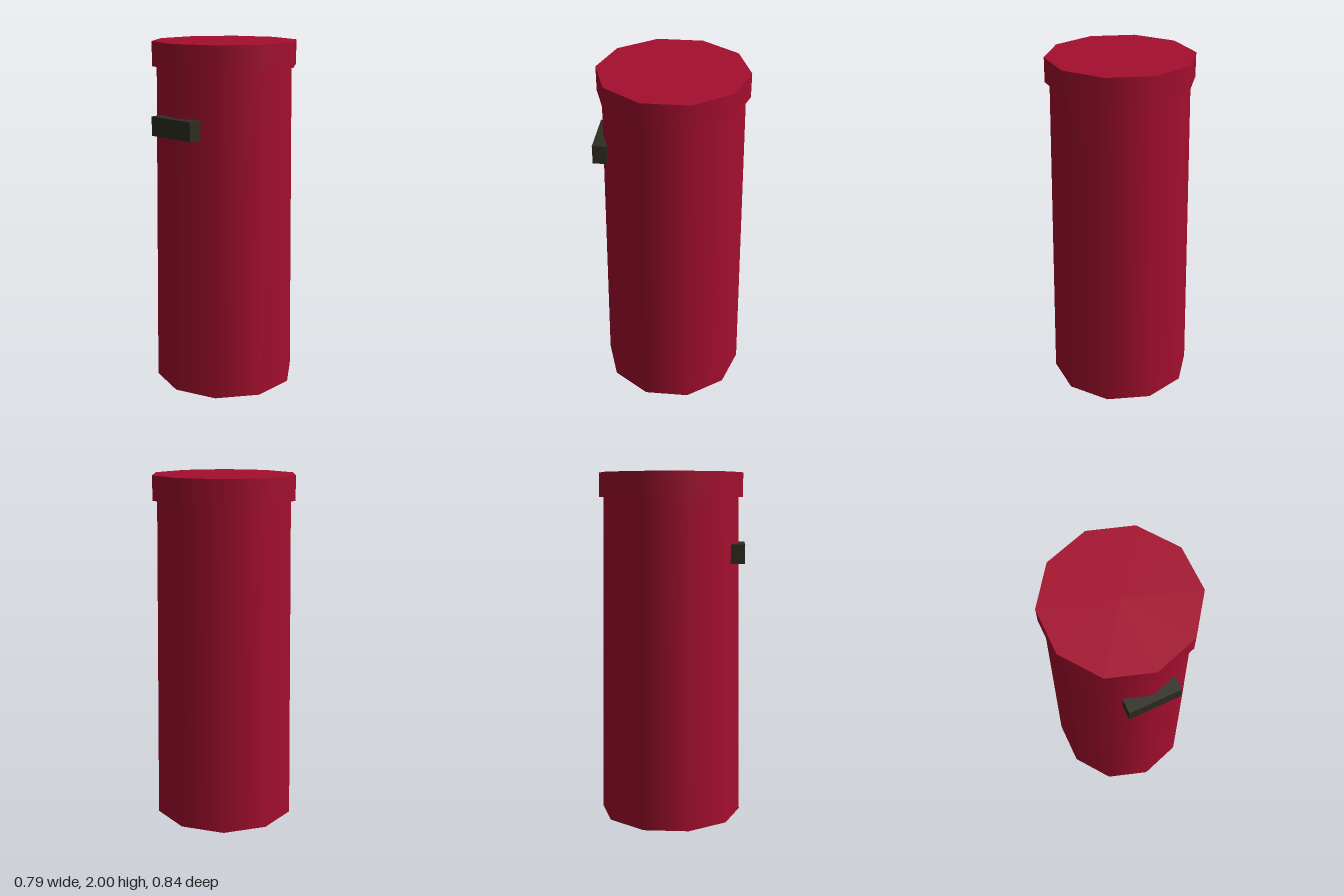
import * as THREE from 'three';

export function createModel() {
  const red = new THREE.MeshStandardMaterial({ color: 0xa50e2e });
  red.name = 'pillar red';
  const dark = new THREE.MeshStandardMaterial({ color: 0x2f2e23 });
  dark.name = 'slot dark olive';

  const SIDES = 10;
  const CENTRE_Z = -0.008;
  const model = new THREE.Group();
  model.name = 'pillarBox';

  const add = (name, geometry, material, y, z) => {
    const mesh = new THREE.Mesh(geometry, material);
    mesh.name = name;
    mesh.position.set(0, y, z);
    model.add(mesh);
  };

  // Tapered ten-sided body, smooth shaded, with a corner facing the front
  add('body', new THREE.CylinderGeometry(0.388, 0.414, 1.862, SIDES), red, 0.931, CENTRE_Z);

  // Wider straight cap
  add('cap', new THREE.CylinderGeometry(0.414, 0.414, 0.138, SIDES), red, 1.931, CENTRE_Z);

  // Slot block set into the front corner
  add('slot', new THREE.BoxGeometry(0.302, 0.108, 0.08), dark, 1.546, 0.38);

  return model;
}
